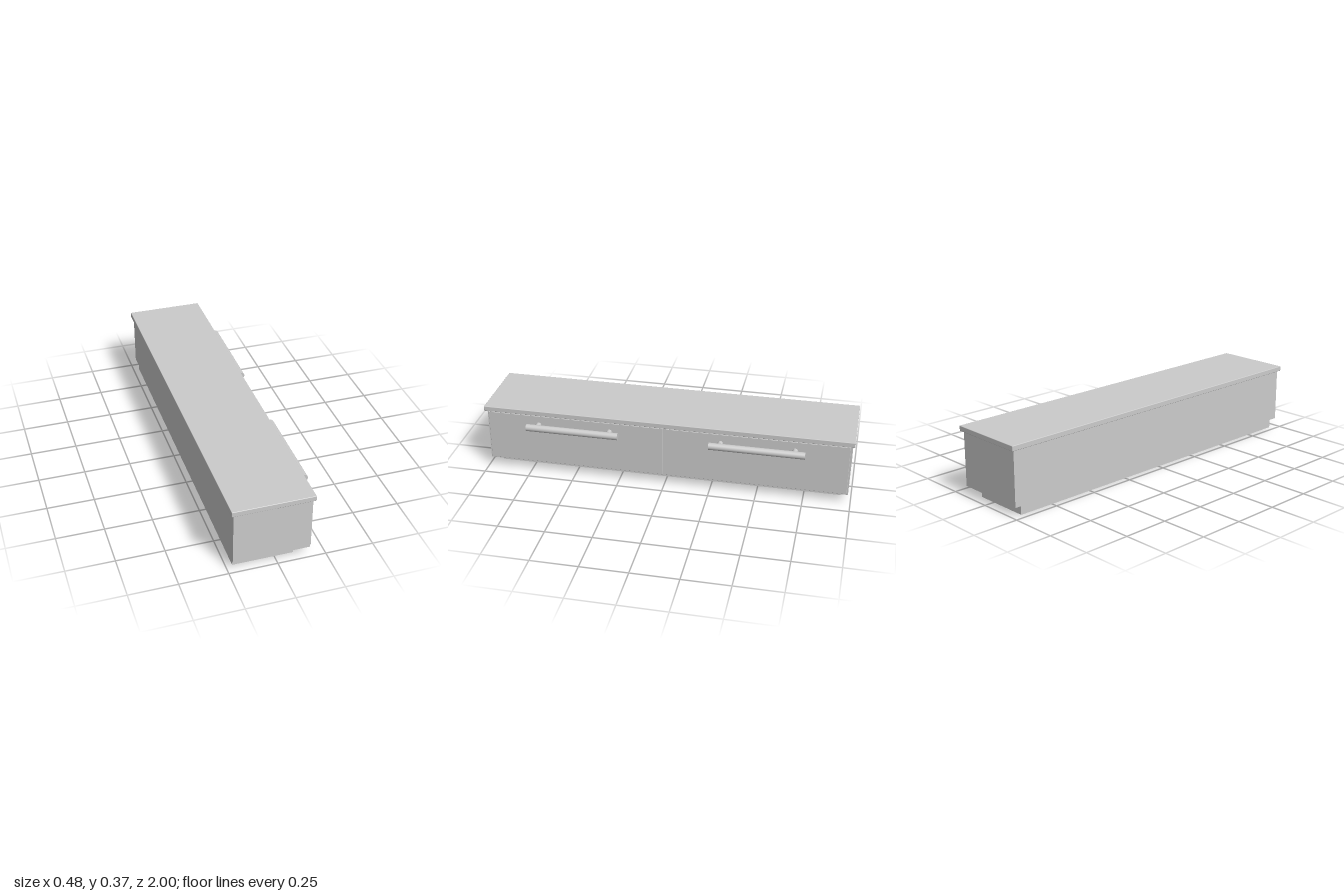
import * as THREE from 'three';
import { RoundedBoxGeometry } from 'three/addons/geometries/RoundedBoxGeometry.js';

const material = new THREE.MeshStandardMaterial({ color: 0xcccccc });

// Box given by its extents on each axis; a radius softens the edges
function box(name, [x0, x1], [y0, y1], [z0, z1], radius = 0) {
  const size = [x1 - x0, y1 - y0, z1 - z0];
  const geometry = radius
    ? new RoundedBoxGeometry(...size, 3, radius)
    : new THREE.BoxGeometry(...size);
  const mesh = new THREE.Mesh(geometry, material);
  mesh.name = name;
  mesh.position.set((x0 + x1) / 2, (y0 + y1) / 2, (z0 + z1) / 2);
  return mesh;
}

function rod(name, radius, length) {
  const mesh = new THREE.Mesh(new THREE.CylinderGeometry(radius, radius, length, 32), material);
  mesh.name = name;
  return mesh;
}

// Bar handle on two posts, running along z
function createHandle() {
  const handle = new THREE.Group();
  handle.name = 'handle';
  const bar = rod('handleBar', 0.019, 0.506);
  bar.rotation.x = Math.PI / 2;
  handle.add(bar);
  for (const side of [-1, 1]) {
    const post = rod('handlePost', 0.0142, 0.046);
    post.rotation.z = Math.PI / 2;
    post.position.set(-0.023, 0, side * 0.197);
    handle.add(post);
  }
  handle.position.y = 0.288;
  return handle;
}

export function createModel() {
  const model = new THREE.Group();
  model.name = 'lowDrawerCabinet';

  // Recessed base, carcass and overhanging top
  model.add(
    box('plinth', [-0.216, 0.099], [0, 0.05], [-0.945, 0.945]),
    box('carcass', [-0.225, 0.17], [0.05, 0.345], [-0.985, 0.985]),
    box('topPanel', [-0.238, 0.184], [0.344, 0.372], [-1, 1], 0.003),
  );

  // Two drawers side by side, each with a handle
  for (const side of [-1, 1]) {
    const drawer = new THREE.Group();
    drawer.name = side > 0 ? 'frontDrawer' : 'rearDrawer';
    const z = [0.008 * side, 0.978 * side].sort((a, b) => a - b);
    drawer.add(box('drawerFront', [0.168, 0.177], [0.057, 0.339], z, 0.002));
    const handle = createHandle();
    handle.position.x = 0.219;
    handle.position.z = side * 0.498;
    drawer.add(handle);
    model.add(drawer);
  }
  return model;
}
